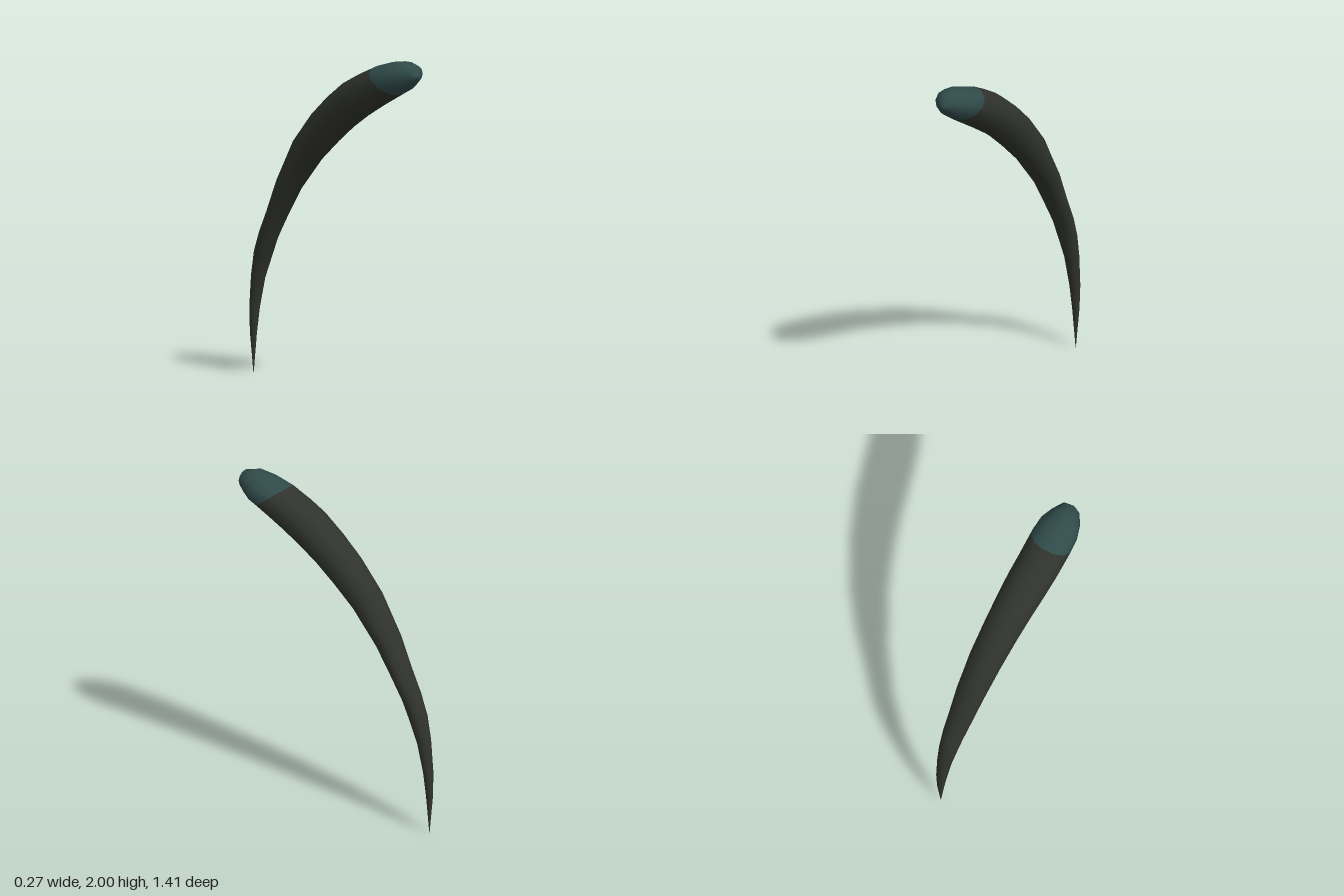
import * as THREE from 'three';

const SIDES = 12;

// Cross-sections from blunt head to pointed tip:
// [upper z, upper y, lower z, lower y, half width, centre x]
const SECTIONS = [
  [0.705, 1.925, 0.705, 1.905, 0.012, 0.01],
  [0.68, 1.983, 0.685, 1.88, 0.06, 0.01],
  [0.6, 2.0, 0.64, 1.842, 0.1, 0.005],
  [0.5, 1.985, 0.6, 1.815, 0.127, 0.004],
  [0.37, 1.948, 0.56, 1.793, 0.134, 0],
  [0.25, 1.895, 0.37, 1.69, 0.132, -0.007],
  [0.14, 1.84, 0.24, 1.615, 0.129, -0.008],
  [0, 1.74, 0.12, 1.535, 0.121, -0.008],
  [-0.14, 1.62, 0, 1.44, 0.113, -0.008],
  [-0.3, 1.44, -0.14, 1.32, 0.104, -0.008],
  [-0.44, 1.2, -0.31, 1.13, 0.09, -0.008],
  [-0.53, 1.0, -0.42, 0.96, 0.077, -0.008],
  [-0.6, 0.87, -0.5, 0.82, 0.067, -0.008],
  [-0.65, 0.75, -0.555, 0.68, 0.057, -0.009],
  [-0.68, 0.6, -0.6, 0.57, 0.046, -0.009],
  [-0.7, 0.4, -0.642, 0.39, 0.034, -0.009],
  [-0.702, 0.25, -0.66, 0.24, 0.022, -0.009],
  [-0.68, 0, -0.68, 0, 0.001, -0.009],
];
const CAP_END = 4; // section where the head cap meets the body

// Triangles joining the rings from one section to another
function skin(from, to) {
  const index = [];
  for (let i = from; i < to; i++) {
    for (let j = 0; j < SIDES; j++) {
      const k = (j + 1) % SIDES;
      const a = i * SIDES + j, b = i * SIDES + k;
      index.push(a, b, a + SIDES, b, b + SIDES, a + SIDES);
    }
  }
  return index;
}

export function createModel() {
  // Elliptical rings, each spanning its upper and lower points
  const positions = [];
  for (const [uz, uy, lz, ly, w, cx] of SECTIONS) {
    for (let j = 0; j < SIDES; j++) {
      const a = (j / SIDES) * Math.PI * 2;
      const c = Math.cos(a) / 2;
      positions.push(cx + w * Math.sin(a), (uy + ly) / 2 + (uy - ly) * c, (uz + lz) / 2 + (uz - lz) * c);
    }
  }
  const whole = new THREE.BufferGeometry();
  whole.setAttribute('position', new THREE.Float32BufferAttribute(positions, 3));
  const front = [];
  for (let j = 1; j < SIDES - 1; j++) front.push(0, j + 1, j);
  const capIndex = [...front, ...skin(0, CAP_END)];
  const bodyIndex = skin(CAP_END, SECTIONS.length - 1);
  whole.setIndex([...capIndex, ...bodyIndex]);
  whole.computeVertexNormals();

  // Both parts share the smooth normals, so the colour seam stays smooth
  const group = new THREE.Group();
  group.name = 'curvedHorn';
  const addPart = (name, index, color) => {
    const geometry = whole.clone();
    geometry.setIndex(index);
    const mesh = new THREE.Mesh(geometry, new THREE.MeshStandardMaterial({ color }));
    mesh.name = name;
    group.add(mesh);
  };
  addPart('headCap', capIndex, 0x304a4a);
  addPart('taperedBody', bodyIndex, 0x30332d);
  return group;
}
